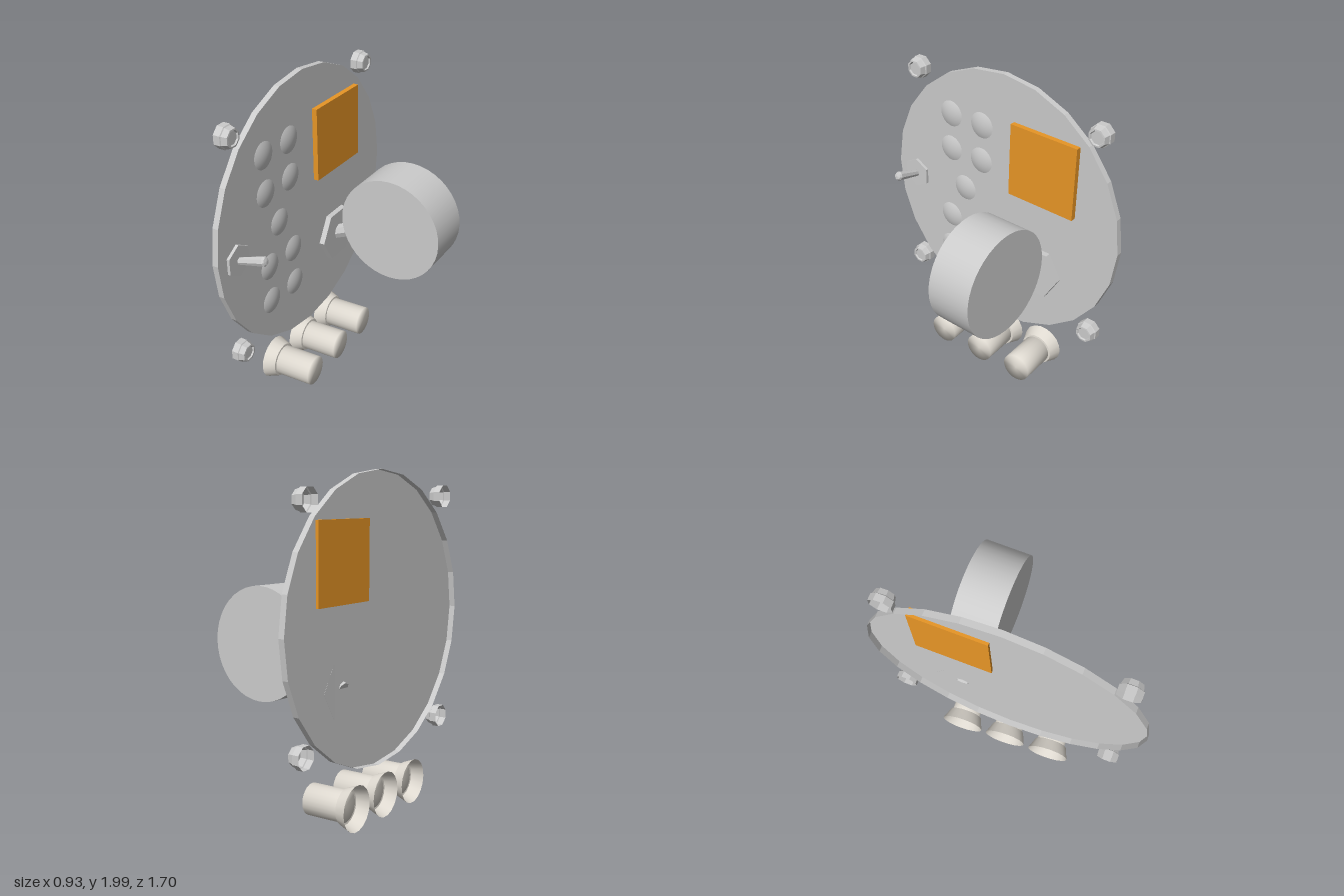
import * as THREE from 'three';
import { toCreasedNormals } from 'three/addons/utils/BufferGeometryUtils.js';

const material = (name, color, extra = {}) => {
  const m = new THREE.MeshStandardMaterial({ color, ...extra });
  m.name = name;
  return m;
};

export function createModel() {
  const GREY = 0xcbcbcb;
  const grey = material('grey metal', GREY);
  const flatGrey = material('grey metal', GREY, { flatShading: true });
  const openGrey = material('grey metal', GREY, { flatShading: true, side: THREE.DoubleSide });
  const cream = material('warm white', 0xe0dbd2, { side: THREE.DoubleSide });
  const orange = material('orange', 0xe89626);

  const model = new THREE.Group();
  model.name = 'controlPanel';

  const add = (name, geometry, mat, x, y, z, parent = model) => {
    const mesh = new THREE.Mesh(geometry, mat);
    mesh.name = name;
    mesh.position.set(x, y, z);
    parent.add(mesh);
    return mesh;
  };

  // Turned shape whose axis runs along +x; profile is [radius, x]
  const turned = (profile, sides, start = 0) =>
    new THREE.LatheGeometry(profile.map(([r, h]) => new THREE.Vector2(r, h)), sides, start)
      .rotateZ(-Math.PI / 2);

  // Short prism with its axis along x
  const prism = (radius, depth, sides, start = 0) =>
    new THREE.CylinderGeometry(radius, radius, depth, sides, 1, false, start).rotateZ(-Math.PI / 2);

  // Panel: front disc with a rim, open at the back, turned slightly about the vertical
  const panel = new THREE.Group();
  panel.name = 'panel';
  panel.position.set(-0.378, 1.1525, 0);
  panel.rotation.y = -0.0118;
  model.add(panel);
  add('panelDisc', turned([[0.8475, -0.0185], [0.8475, 0.0185], [0, 0.0185]], 24), openGrey, 0, 0, 0, panel);

  // Shallow domes: two pairs above, one in the middle, two pairs below
  const domeAngle = 0.42, domeRadius = 0.083 / Math.sin(domeAngle);
  const dome = new THREE.SphereGeometry(domeRadius, 24, 8, 0, Math.PI * 2, 0, domeAngle)
    .translate(0, -domeRadius * Math.cos(domeAngle), 0)
    .rotateZ(-Math.PI / 2);
  const domeSpots = [[0.28, 0.003]];
  for (const z of [0.395, 0.155])
    for (const y of [0.478, 0.243, -0.243, -0.483]) domeSpots.push([z, y]);
  for (const [z, y] of domeSpots) add('dome', dome, grey, 0.0185, y, z, panel);

  // Square orange plate set through the disc
  add('orangePlate', new THREE.BoxGeometry(0.05, 0.46, 0.46), orange, 0.026, 0.349, -0.315, panel);

  // Nuts around the panel, open at the back
  const nut = turned([
    [0.07, -0.038], [0.07, 0.003], [0.064, 0.007], [0.055, 0.04],
    [0.045, 0.041], [0.04, 0.032], [0, 0.032],
  ], 8, Math.PI / 8);
  for (const [z, y] of [[0.67, 1.848], [-0.655, 1.835], [0.675, 0.467], [-0.693, 0.51]])
    add('nut', nut, openGrey, -0.372 - z * 0.0118, y, z);

  // Round-tipped rod along a line from a to b, given radii at both ends
  const rod = (name, a, b, r0, r1) => {
    const from = new THREE.Vector3(...a);
    const dir = new THREE.Vector3(...b).sub(from);
    const length = dir.length();
    const points = [[0, 0], [r0, 0], [r1, length - r1 * 0.6], [r1 * 0.75, length - r1 * 0.15], [0, length]]
      .map(([r, h]) => new THREE.Vector2(r, h));
    const mesh = add(name, new THREE.LatheGeometry(points, 8), flatGrey, ...a);
    mesh.quaternion.setFromUnitVectors(new THREE.Vector3(0, 1, 0), dir.normalize());
  };

  // Toggle switch
  add('toggleBase', prism(0.1, 0.018, 6, Math.PI / 6), flatGrey, -0.357, 1.116, 0.688);
  rod('toggleLever', [-0.358, 1.112, 0.688], [-0.164, 1.17, 0.685], 0.021, 0.03);

  // Large knob: hexagonal base, slanted shaft, drum
  add('knobBase', prism(0.177, 0.035, 6), flatGrey, -0.3375, 0.799, -0.3);
  rod('knobShaft', [-0.351, 0.797, -0.3], [0.08, 1.0, -0.29], 0.046, 0.055);
  const drum = add('knobDrum', new THREE.CylinderGeometry(0.332, 0.332, 0.285, 40).rotateX(Math.PI / 2),
    grey, 0.13, 1.02, -0.2945);
  drum.rotation.set(0.011, -0.0118, 0);

  // Three push buttons below, each a body with a flared collar open at the back
  const body = turned([[0, -0.08], [0.094, -0.08], [0.094, 0.153], [0, 0.155]], 24);
  const collar = toCreasedNormals(turned([[0.135, -0.153], [0.107, -0.08], [0.093, -0.078]], 18), 0.6);
  for (const [z, x] of [[0.288, -0.297], [-0.016, -0.3], [-0.318, -0.306]]) {
    const button = new THREE.Group();
    button.name = 'pushButton';
    button.position.set(x, 0.138, z);
    button.rotation.y = 0.04;
    model.add(button);
    add('buttonBody', body, cream, 0, 0, 0, button);
    add('buttonCollar', collar, cream, 0, 0, 0, button);
  }

  return model;
}
